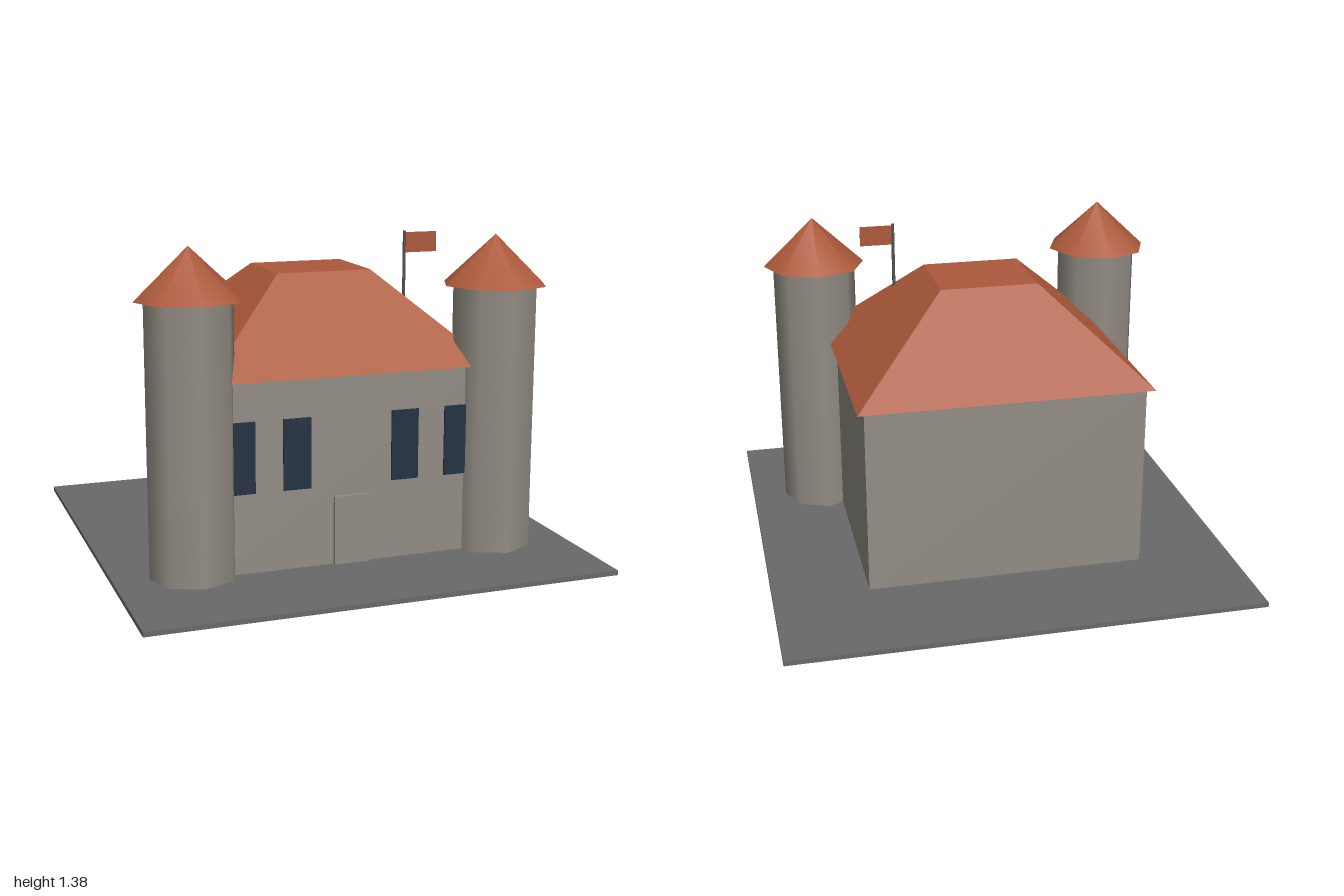
import * as THREE from 'three';

const material = (name, color) => {
  const m = new THREE.MeshStandardMaterial({ color });
  m.name = name;
  return m;
};

export function createModel() {
  const model = new THREE.Group();
  model.name = 'castleHouse';

  const stone = material('stone', 0x928d84);
  const tile = material('roof tile', 0xac593b);
  const paving = material('paving', 0x696969);
  const glass = material('dark glass', 0x253244);
  const iron = material('iron', 0x555555);

  const add = (name, geometry, mat, x, y, z) => {
    const mesh = new THREE.Mesh(geometry, mat);
    mesh.name = name;
    mesh.position.set(x, y, z);
    model.add(mesh);
    return mesh;
  };
  // Box given by its centre in x and z and its bottom and top heights
  const box = (name, mat, w, d, y0, y1, x = 0, z = 0) =>
    add(name, new THREE.BoxGeometry(w, y1 - y0, d), mat, x, (y0 + y1) / 2, z);

  // Ground slab and house body
  box('ground', paving, 2, 2, 0, 0.02);
  box('walls', stone, 1.19, 1.06, 0.02, 0.825);

  // Hipped roof: a box whose upper corners are drawn inwards to a flat top
  const roof = new THREE.BoxGeometry(1.25, 0.38, 1.12);
  const p = roof.attributes.position;
  for (let i = 0; i < p.count; i++) {
    if (p.getY(i) > 0) {
      p.setX(i, Math.sign(p.getX(i)) * 0.21);
      p.setZ(i, Math.sign(p.getZ(i)) * 0.188);
    }
  }
  roof.computeVertexNormals();
  add('hippedRoof', roof, tile, 0, 1.015, 0);

  // Door and front windows
  box('door', stone, 0.16, 0.02, 0.02, 0.315, 0, 0.535);
  for (const x of [-0.48, -0.24, 0.235, 0.475]) {
    box('window', glass, 0.12, 0.009, 0.36, 0.66, x, 0.533);
  }

  // Eight-sided corner towers with pointed roofs
  for (const side of [-1, 1]) {
    const x = side * 0.667;
    add(side > 0 ? 'leftTower' : 'rightTower',
      new THREE.CylinderGeometry(0.184, 0.184, 1.14, 8), stone, x, 0.59, 0.465);
    add(side > 0 ? 'leftTowerRoof' : 'rightTowerRoof',
      new THREE.ConeGeometry(0.225, 0.212, 8), tile, x, 1.264, 0.465);
  }

  // Flag on the front roof slope
  add('flagpole', new THREE.CylinderGeometry(0.007, 0.007, 0.325, 8), iron, 0.333, 1.2125, 0.27);
  box('flag', tile, 0.145, 0.005, 1.282, 1.368, 0.407, 0.27);

  return model;
}
